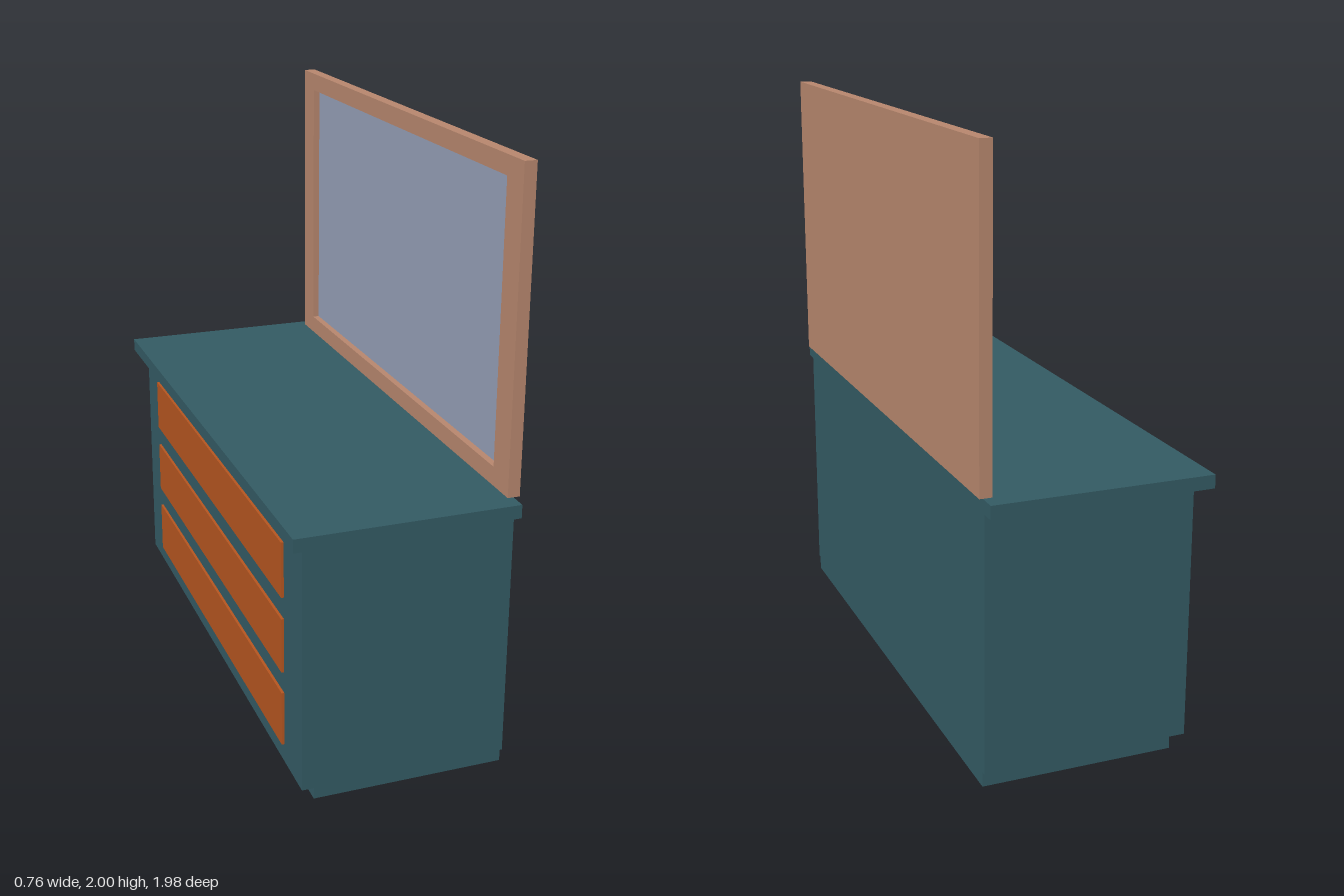
import * as THREE from 'three';

const paint = (name, color) => {
  const m = new THREE.MeshStandardMaterial({ color });
  m.name = name;
  return m;
};

export function createModel() {
  const teal = paint('tealPaint', 0x335a63);
  const tan = paint('tanWood', 0xb6866d);
  const orange = paint('orangeWood', 0xb45520);
  const silver = paint('mirrorGlass', 0x949db5);

  const model = new THREE.Group();
  model.name = 'mirroredDresser';

  // Box given by its x and y ranges and its full length along z
  const box = (name, mat, x0, x1, y0, y1, length) => {
    const mesh = new THREE.Mesh(new THREE.BoxGeometry(x1 - x0, y1 - y0, length), mat);
    mesh.name = name;
    mesh.position.set((x0 + x1) / 2, (y0 + y1) / 2, 0);
    model.add(mesh);
    return mesh;
  };

  // Cabinet: plinth, body and overhanging top
  const back = 0.36;
  box('plinth', teal, -0.29, back, 0, 0.05, 1.85);
  box('cabinetBody', teal, -0.335, back, 0.05, 0.905, 1.88);
  box('cabinetTop', teal, -0.38, back, 0.905, 0.95, 1.98);

  // Three drawer fronts, facing -x
  for (let i = 0; i < 3; i++) {
    const y = 0.115 + i * 0.265;
    box('drawerFront' + (i + 1), orange, -0.344, -0.335, y, y + 0.19, 1.54);
  }

  // Mirror frame: rectangle with a hole, extruded along x
  const halfW = 0.94, bottom = 0.955, top = 2, sideBar = 0.105, crossBar = 0.063;
  const rect = (Type, w, y0, y1) => new Type([
    new THREE.Vector2(-w, y0), new THREE.Vector2(w, y0),
    new THREE.Vector2(w, y1), new THREE.Vector2(-w, y1),
  ]);
  const outline = rect(THREE.Shape, halfW, bottom, top);
  outline.holes.push(rect(THREE.Path, halfW - sideBar, bottom + crossBar, top - crossBar));
  const frame = new THREE.Mesh(
    new THREE.ExtrudeGeometry(outline, { depth: 0.03, bevelEnabled: false }), tan);
  frame.name = 'mirrorFrame';
  frame.rotation.y = Math.PI / 2;
  frame.position.x = 0.335;
  model.add(frame);

  // Backing board and recessed glass
  box('mirrorBacking', tan, 0.365, 0.376, bottom, top, halfW * 2);
  box('mirrorGlass', silver, 0.358, 0.365, bottom + crossBar, top - crossBar, (halfW - sideBar) * 2);

  return model;
}
